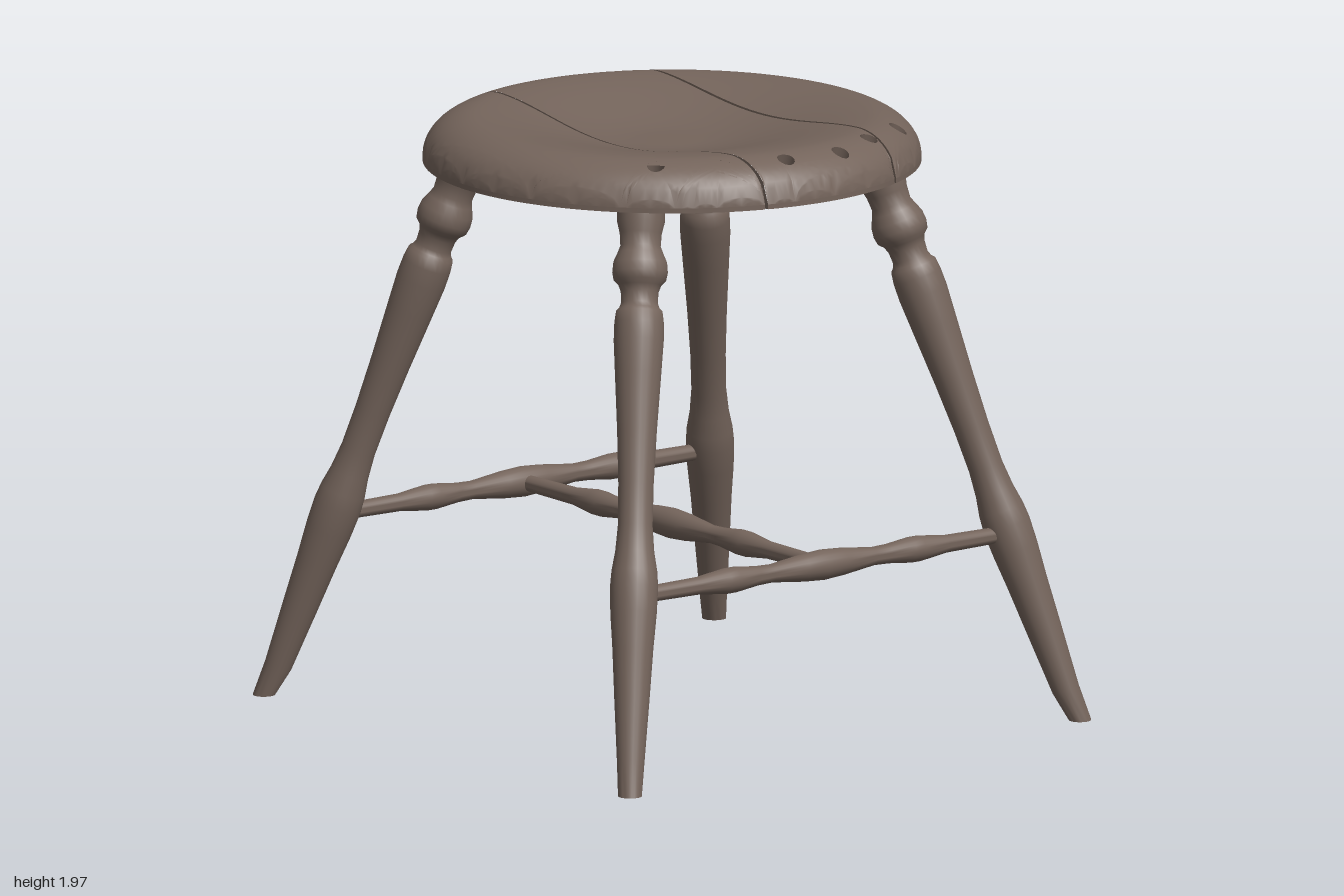
import * as THREE from 'three';
import { mergeVertices, mergeGeometries, toCreasedNormals } from 'three/addons/utils/BufferGeometryUtils.js';

const R = 0.81; // seat radius
const V2 = (x, y) => new THREE.Vector2(x, y);

// Heights of the dished top with its rolled rim, and of the underside
const topY = (r) => {
  const u = Math.min(1, Math.max(0, (r - 0.64) / 0.17));
  return 1.89 + 0.083 * THREE.MathUtils.smoothstep(r, 0.1, 0.66) - 0.135 * (1 - Math.sqrt(1 - u * u));
};
const bottomY = (r) => 1.797 + 0.025 * THREE.MathUtils.smoothstep(r, 0.56, 0.81);

// Slits between planks: x = a + b z
const slitA = { a: -0.235, b: 0.02 };
const slitB = { a: 0.357, b: -0.01 };

// Angle where a slit (shifted by d) meets the rim; s = 1 front, -1 back
function rimAngle(slit, d, s) {
  let t = s * Math.PI / 2;
  for (let i = 0; i < 10; i++) t = s * Math.acos((slit.a + d + slit.b * R * Math.sin(t)) / R);
  return t;
}

function arc(from, to, r = R, cx = 0, cz = 0, n = Math.ceil(Math.abs(to - from) * R / 0.02)) {
  return Array.from({ length: n + 1 }, (_, i) => {
    const t = from + (to - from) * i / n;
    return V2(cx + r * Math.cos(t), cz + r * Math.sin(t));
  });
}

function geometryFrom(pos) {
  const g = new THREE.BufferGeometry();
  g.setAttribute('position', new THREE.Float32BufferAttribute(pos, 3));
  return g;
}

// Curved face of a plank: triangulated outline, refined, then lifted by height(r)
function cap(outline, holes, height, up) {
  const pts = [...outline, ...holes.flat()];
  const pos = [];
  const put = (p) => pos.push(p.x, height(p.length()), p.y);
  const refine = (a, b, c) => {
    const ab = a.distanceTo(b), bc = b.distanceTo(c), ca = c.distanceTo(a);
    if (bc > ab && bc >= ca) return refine(b, c, a);
    if (ca > ab && ca > bc) return refine(c, a, b);
    if (ab < 0.024) return [a, b, c].forEach(put);
    const m = V2((a.x + b.x) / 2, (a.y + b.y) / 2);
    refine(a, m, c);
    refine(m, b, c);
  };
  for (const [i, j, k] of THREE.ShapeUtils.triangulateShape(outline, holes)) {
    const a = pts[i], b = pts[j], c = pts[k];
    const facesUp = (b.y - a.y) * (c.x - a.x) - (b.x - a.x) * (c.y - a.y) > 0;
    if (facesUp === up) refine(a, b, c);
    else refine(a, c, b);
  }
  const g = mergeVertices(geometryFrom(pos), 1e-5);
  g.computeVertexNormals();
  return g.toNonIndexed();
}

// Closed wall joining a top loop to a bottom loop
function wall(top, bottom) {
  const pos = [];
  const put = (p, h) => pos.push(p.x, h(p.length()), p.y);
  top.forEach((a, i) => {
    const j = (i + 1) % top.length;
    const n = a.distanceTo(top[j]) > 0.1 ? 64 : 1;
    for (let k = 0; k < n; k++) {
      const [t0, t1] = [0, 1].map((d) => a.clone().lerp(top[j], (k + d) / n));
      const [b0, b1] = [0, 1].map((d) => bottom[i].clone().lerp(bottom[j], (k + d) / n));
      put(t0, topY); put(t1, topY); put(b1, bottomY);
      put(t0, topY); put(b1, bottomY); put(b0, bottomY);
    }
  });
  return toCreasedNormals(geometryFrom(pos), 0.7);
}

// Splayed spindle holes: the bottom end sits nearer the centre
const hole = ([x, z], pull) => {
  const k = 1 - pull / Math.hypot(x, z);
  return arc(2 * Math.PI, 0, 0.029, x * k, z * k, 16).slice(0, -1);
};

function plank(outline, centres) {
  const upper = centres.map((c) => hole(c, 0));
  const lower = centres.map((c) => hole(c, 0.05));
  return mergeGeometries([
    cap(outline, upper, topY, true),
    cap(outline, lower, bottomY, false),
    wall(outline, outline),
    ...upper.map((h, i) => wall(h, lower[i])),
  ]);
}

// Turned part from [radius, height] pairs
function turned(profile) {
  return toCreasedNormals(new THREE.LatheGeometry(profile.map(([r, y]) => V2(r, y)), 24), 0.7);
}

const legProfile = [
  [0, -0.03], [0.039, -0.03], [0.045, 0.1], [0.058, 0.3], [0.067, 0.45], [0.076, 0.56],
  [0.079, 0.64], [0.075, 0.69], [0.064, 0.75], [0.057, 0.83], [0.058, 0.96], [0.065, 1.12],
  [0.076, 1.3], [0.082, 1.4], [0.081, 1.455], [0.076, 1.49], [0.066, 1.5], [0.06, 1.515],
  [0.062, 1.55], [0.07, 1.57], [0.086, 1.585], [0.091, 1.61], [0.088, 1.64], [0.074, 1.67],
  [0.066, 1.69], [0.069, 1.73], [0.078, 1.765], [0.08, 1.85], [0, 1.85],
];

function legGeometry(sx, sz) {
  const foot = new THREE.Vector3(0.92 * sx, 0, 0.957 * sz);
  const axis = new THREE.Vector3(0.49 * sx, 1.8, 0.465 * sz).sub(foot);
  const stretch = axis.length() / 1.8;
  const g = turned(legProfile.map(([r, y]) => [r, y * stretch]));
  g.applyQuaternion(new THREE.Quaternion().setFromUnitVectors(new THREE.Vector3(0, 1, 0), axis.normalize()));
  g.translate(foot.x, 0, foot.z);
  // Cut the foot level with the floor
  const p = g.attributes.position;
  for (let i = 0; i < p.count; i++) p.setY(i, Math.max(0, p.getY(i)));
  return g;
}

export function createModel() {
  const wood = new THREE.MeshStandardMaterial({ color: 0x74645b });
  wood.name = 'brown wood';
  const model = new THREE.Group();
  model.name = 'stool';
  const add = (name, geometry) => {
    const mesh = new THREE.Mesh(geometry, wood);
    mesh.name = name;
    model.add(mesh);
    return mesh;
  };

  // Seat of three planks
  const g = 0.005;
  add('rightSeatPlank', plank(
    arc(rimAngle(slitA, -g, 1), 2 * Math.PI + rimAngle(slitA, -g, -1)),
    [[-0.48, 0.53], [-0.3, 0.65]]));
  add('middleSeatPlank', plank(
    [...arc(rimAngle(slitB, -g, 1), rimAngle(slitA, g, 1)), ...arc(rimAngle(slitA, g, -1), rimAngle(slitB, -g, -1))],
    [[-0.085, 0.71], [0.135, 0.715], [0.315, 0.635]]));
  add('leftSeatPlank', plank(
    arc(rimAngle(slitB, g, -1), rimAngle(slitB, g, 1)),
    [[0.52, 0.525]]));

  // Splayed legs
  for (const [sx, side] of [[1, 'Left'], [-1, 'Right']]) {
    for (const [sz, end] of [[1, 'front'], [-1, 'back']]) add(`${end}${side}Leg`, legGeometry(sx, sz));
  }

  // Turned stretchers in an H
  const half = [[0.05, 0], [0.045, 0.08], [0.03, 0.21], [0.032, 0.27], [0.042, 0.36], [0.042, 0.4], [0.029, 0.51], [0.026, 0.77]];
  const stretcher = turned([...half.slice(1).reverse().map(([r, y]) => [r, -y]), ...half]);
  for (const [z, name] of [[0.79, 'frontStretcher'], [-0.79, 'backStretcher']]) {
    const bar = add(name, stretcher);
    bar.rotation.z = Math.PI / 2;
    bar.position.set(0, 0.612, z);
  }
  const cross = add('crossStretcher', stretcher);
  cross.rotation.x = Math.PI / 2;
  cross.position.y = 0.612;

  return model;
}
